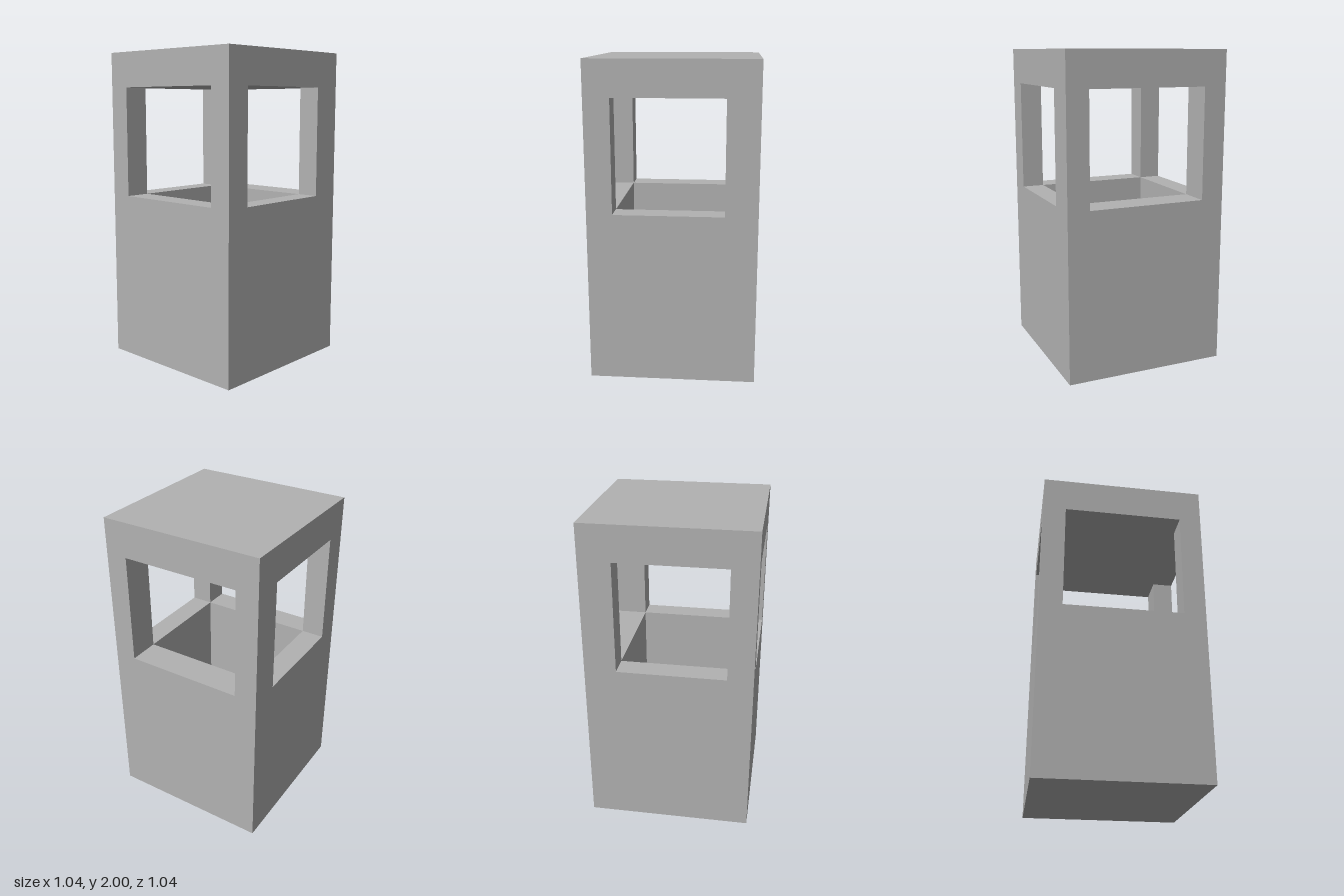
import * as THREE from 'three';

const HALF = 0.52;                          // half width of the square plan
const IN = { x0: -0.375, x1: 0.38, z0: -0.32, z1: 0.36 }; // inner opening
const FLOOR = 0.2, SILL = 1.075, LINTEL = 1.777, TOP = 2;

export function createModel() {
  const model = new THREE.Group();
  model.name = 'booth';

  const grey = new THREE.MeshStandardMaterial({ color: 0xb2b2b2 });
  grey.name = 'grey';

  const add = (name, geometry) => {
    const mesh = new THREE.Mesh(geometry, grey);
    mesh.name = name;
    model.add(mesh);
    return mesh;
  };

  // Box given by its two extreme corners
  const block = (name, x0, x1, y0, y1, z0, z1) =>
    add(name, new THREE.BoxGeometry(x1 - x0, y1 - y0, z1 - z0))
      .position.set((x0 + x1) / 2, (y0 + y1) / 2, (z0 + z1) / 2);

  // Rectangle in plan; shape y becomes -z once the extrusion is stood up
  const rectangle = (path, x0, x1, z0, z1) => {
    path.moveTo(x0, -z1);
    path.lineTo(x1, -z1);
    path.lineTo(x1, -z0);
    path.lineTo(x0, -z0);
    path.closePath();
    return path;
  };

  // Solid floor slab
  block('floor', -HALF, HALF, 0, FLOOR, -HALF, HALF);

  // Hollow lower walls up to the window sills
  const plan = rectangle(new THREE.Shape(), -HALF, HALF, -HALF, HALF);
  plan.holes.push(rectangle(new THREE.Path(), IN.x0, IN.x1, IN.z0, IN.z1));
  const walls = new THREE.ExtrudeGeometry(plan, { depth: SILL - FLOOR, bevelEnabled: false });
  walls.rotateX(-Math.PI / 2).translate(0, FLOOR, 0);
  add('lowerWalls', walls);

  // Four corner posts framing the windows
  for (const [side, x0, x1] of [['Right', -HALF, IN.x0], ['Left', IN.x1, HALF]]) {
    for (const [end, z0, z1] of [['back', -HALF, IN.z0], ['front', IN.z1, HALF]]) {
      block(`${end}${side}Post`, x0, x1, SILL, LINTEL, z0, z1);
    }
  }

  // Flat roof slab
  block('roof', -HALF, HALF, LINTEL, TOP, -HALF, HALF);

  return model;
}
